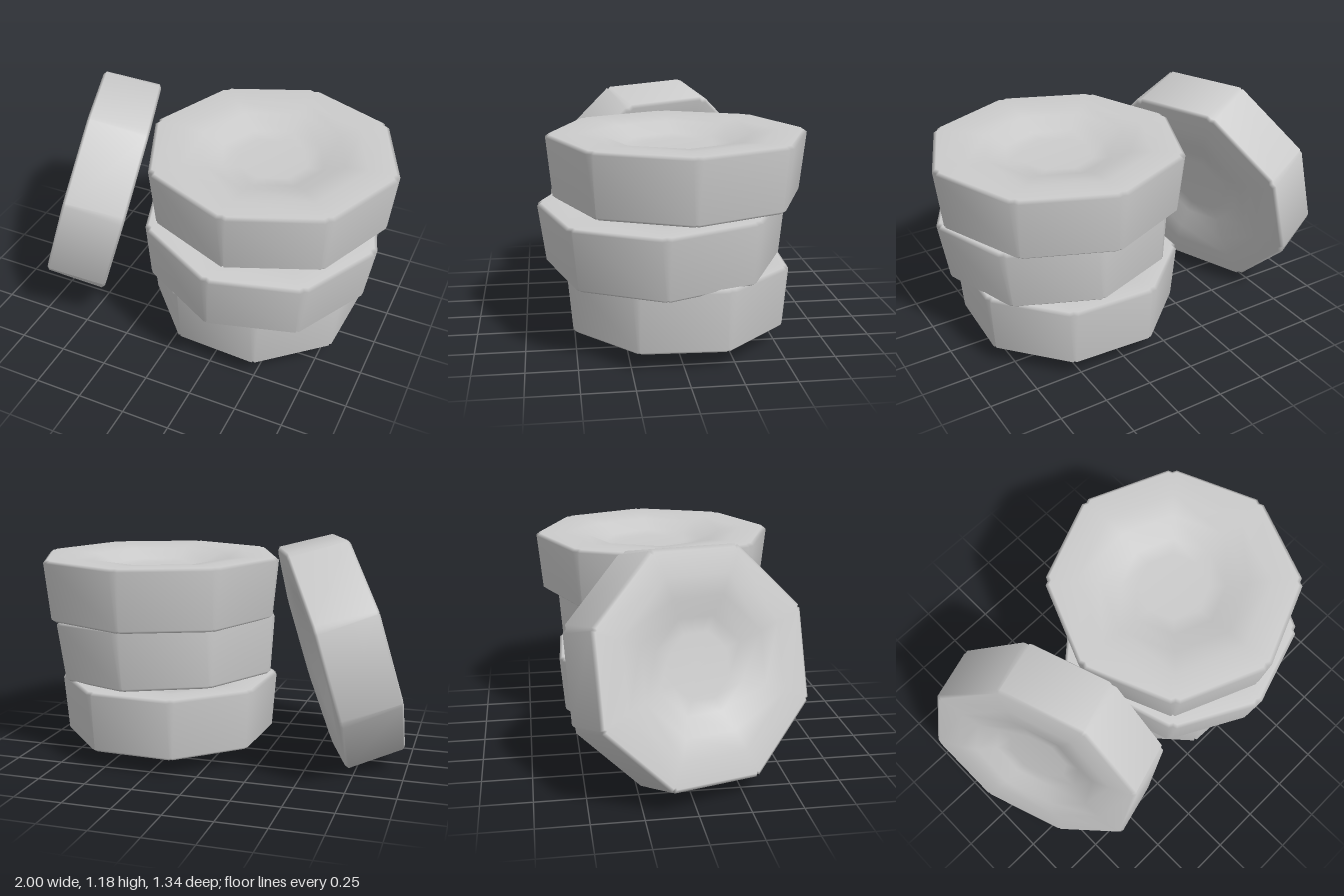
import * as THREE from 'three';

const HALF = 0.16; // half the thickness of a tire

// One octagonal tire: tapered tread, dished faces, small nick at each corner. Wide face is +y.
function tireGeometry(topR, bottomR) {
  const face = [[0, -0.07], [0.28, -0.07], [0.41, -0.06], [0.58, -0.014], [0.75, -0.004], [0.97, 0], [1, -0.014]];
  const profile = [
    ...face.map(([r, d]) => new THREE.Vector2(r * bottomR, -HALF - d)),
    ...face.map(([r, d]) => new THREE.Vector2(r * topR, HALF + d)).reverse(),
  ];
  const sides = 8, segments = sides * 3, n = profile.length;
  const geo = new THREE.LatheGeometry(profile, segments);
  const { position, normal } = geo.attributes;
  const step = (Math.PI * 2) / sides;
  for (let i = 0; i <= segments; i++) {
    const corner = Math.round(i / 3);
    const side = i - corner * 3; // -1, 0 or 1 around a corner
    const oldAngle = (i / segments) * Math.PI * 2;
    const facing = corner * step + side * step * 0.2;
    for (let j = 0; j < n; j++) {
      const p = profile[j];
      const delta = p.y > 0 ? 0.035 : 0.015;
      const rim = p.x > 0.9 * (p.y > 0 ? topR : bottomR);
      const a = corner * step + side * delta;
      const flat = Math.cos(step / 2) / Math.cos(step / 2 - delta);
      const r = p.x * (side ? flat : rim ? flat - 0.015 : 1);
      const v = i * n + j;
      position.setXYZ(v, r * Math.sin(a), p.y, r * Math.cos(a));
      // Turn the smooth normal to the new angle
      const out = normal.getX(v) * Math.sin(oldAngle) + normal.getZ(v) * Math.cos(oldAngle);
      const turn = rim ? facing : a;
      normal.setXYZ(v, out * Math.sin(turn), normal.getY(v), out * Math.cos(turn));
    }
  }
  return geo;
}

export function createModel() {
  const group = new THREE.Group();
  const material = new THREE.MeshStandardMaterial({ color: 0xcccccc });

  function addTire(name, topR, bottomR, x, y, z) {
    const mesh = new THREE.Mesh(tireGeometry(topR, bottomR), material);
    mesh.name = name;
    mesh.position.set(x, y, z);
    group.add(mesh);
    return mesh;
  }

  // Stack of three, each a little turned
  addTire('bottomTire', 0.592, 0.565, 0.308, 0.246, -0.02).rotation.y = Math.PI / 8 - 0.05;
  addTire('middleTire', 0.626, 0.592, 0.342, 0.565, 0.05).rotation.set(0.025, -0.085, -0.048);
  addTire('topTire', 0.655, 0.622, 0.353, 0.9, -0.025);

  // Tire leaning against the stack
  const leaning = addTire('leaningTire', 0.62, 0.602, -0.622, 0.598, 0.02);
  const axis = new THREE.Vector3(0.9, -0.28, -0.325).normalize();
  const corner = new THREE.Vector3(0.14, -0.265, 0.57);
  corner.addScaledVector(axis, -corner.dot(axis)).normalize();
  const third = new THREE.Vector3().crossVectors(corner, axis);
  leaning.quaternion.setFromRotationMatrix(new THREE.Matrix4().makeBasis(corner, axis, third));

  return group;
}
